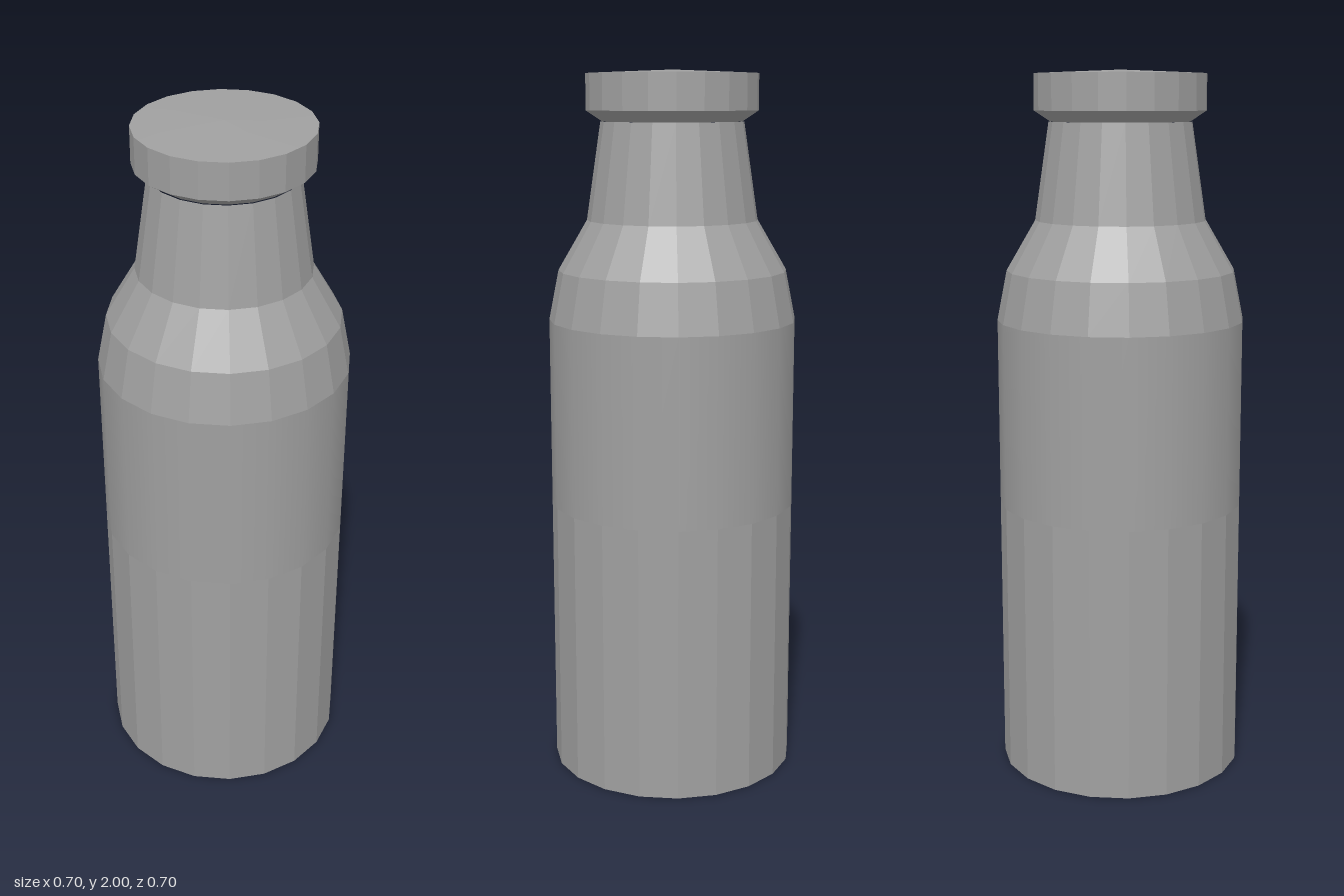
import * as THREE from 'three';

const SIDES = 20;

export function createModel() {
  const model = new THREE.Group();
  model.name = 'bottle';
  const grey = new THREE.MeshStandardMaterial({ color: 0xa0a0a0 });
  grey.name = 'grey';

  // One ring of the bottle wall, faceted unless smooth
  function ring(name, [r0, y0], [r1, y1], smooth = false) {
    let geo = new THREE.CylinderGeometry(r1, r0, y1 - y0, SIDES, 1, true);
    if (!smooth) {
      geo = geo.toNonIndexed();
      geo.computeVertexNormals();
    }
    const mesh = new THREE.Mesh(geo, grey);
    mesh.name = name;
    mesh.position.y = (y0 + y1) / 2;
    model.add(mesh);
  }

  // Wall, from the base up to the lip
  ring('lowerBody', [0.35, 0], [0.35, 0.78]);
  ring('upperBody', [0.35, 0.78], [0.35, 1.31], true);
  ring('lowerShoulder', [0.35, 1.31], [0.322, 1.45]);
  ring('upperShoulder', [0.322, 1.45], [0.24, 1.59]);
  ring('neck', [0.24, 1.59], [0.2, 1.86]);
  ring('capUnderside', [0.195, 1.86], [0.24, 1.89]);
  ring('capRim', [0.24, 1.89], [0.24, 1.99]);

  // Slightly domed lid
  ring('capTop', [0.24, 1.99], [0, 2], true);

  // Closed base
  const base = new THREE.Mesh(new THREE.CircleGeometry(0.35, SIDES), grey);
  base.name = 'base';
  base.rotation.x = Math.PI / 2;
  model.add(base);

  return model;
}
